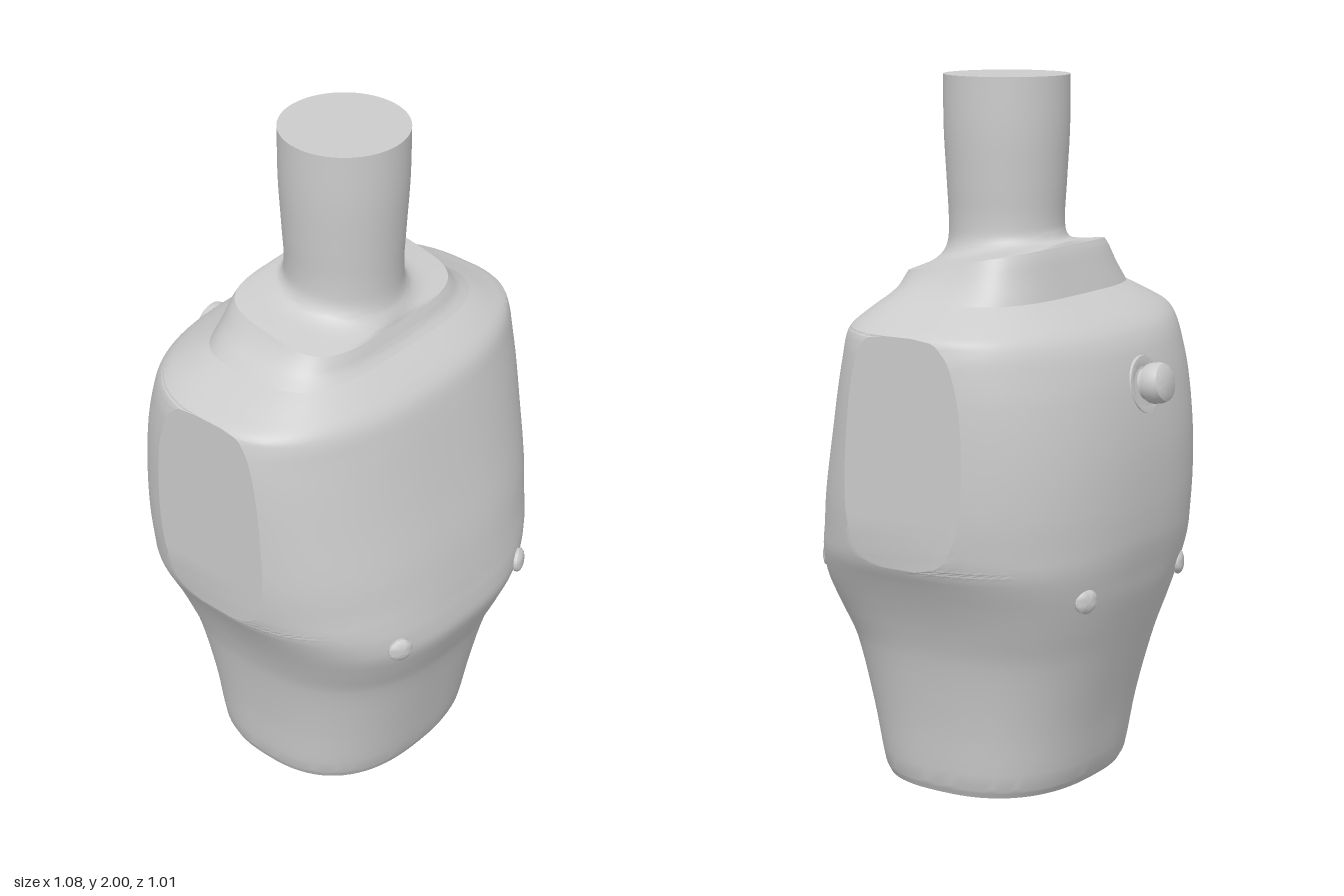
import * as THREE from 'three';
import { toCreasedNormals } from 'three/addons/utils/BufferGeometryUtils.js';

const MID = 0.025;   // z of the central axis
const SIDE = 0.54;   // flat arm cuts at x = +-SIDE
const ARC = 40;      // segments per front or back arc

// Row: [y, half width, front z, back z, squareness, tilt]
const BODY = [
  [0, 0.35, 0.33, -0.27, 2.5, 0],
  [0.03, 0.362, 0.343, -0.285, 2.5, 0],
  [0.2, 0.38, 0.38, -0.32, 2.5, 0],
  [0.4, 0.415, 0.43, -0.375, 2.5, 0],
  [0.5, 0.447, 0.47, -0.405, 2.6, 0],
  [0.58, 0.482, 0.499, -0.428, 2.6, 0],
  [0.64, 0.513, 0.497, -0.44, 2.6, 0],
  [0.69, 0.541, 0.49, -0.45, 2.5, 0],
  [0.74, 0.556, 0.483, -0.457, 2.4, 0],
  [0.85, 0.568, 0.464, -0.461, 2.4, 0],
  [1.0, 0.573, 0.43, -0.456, 2.4, 0],
  [1.15, 0.573, 0.397, -0.435, 2.4, 0],
  [1.25, 0.567, 0.374, -0.408, 2.4, 0],
  [1.3, 0.556, 0.358, -0.382, 2.5, 0],
  [1.33, 0.541, 0.338, -0.352, 2.6, 0],
  [1.36, 0.475, 0.305, -0.305, 2.9, 0],
  [1.4, 0.39, 0.253, -0.226, 3.4, 0],
];
const COLLAR = [
  [1.4, 0.39, 0.253, -0.226, 3.4, 0],
  [1.44, 0.345, 0.235, -0.205, 3.6, 0.09],
  [1.475, 0.318, 0.225, -0.188, 3.8, 0.16],
  [1.495, 0.306, 0.217, -0.177, 3.8, 0.18],
];
const NECK = [
  [1.495, 0.306, 0.217, -0.177, 3.8, 0.18],
  [1.508, 0.215, 0.212, -0.17, 2.4, 0.17],
  [1.53, 0.178, 0.195, -0.152, 2, 0.1],
  [1.58, 0.164, 0.189, -0.139, 2, 0.03],
  [1.7, 0.169, 0.194, -0.144, 2, 0],
  [1.85, 0.177, 0.202, -0.152, 2, 0],
  [2.0, 0.178, 0.203, -0.153, 2, 0],
];

// Smooth interpolation between rows
function refine(rows, steps) {
  const out = [];
  for (let i = 0; i < rows.length - 1; i++) {
    const p0 = rows[Math.max(i - 1, 0)], p1 = rows[i], p2 = rows[i + 1];
    const p3 = rows[Math.min(i + 2, rows.length - 1)];
    for (let s = 0; s < steps; s++) {
      const t = s / steps;
      out.push(p1.map((v, k) => {
        // tangents scaled by height, so uneven row spacing stays smooth
        const h = p2[0] - p1[0];
        const m1 = (p2[k] - p0[k]) / (p2[0] - p0[0]) * h;
        const m2 = (p3[k] - p1[k]) / (p3[0] - p1[0]) * h;
        return v * (2 * t ** 3 - 3 * t * t + 1) + m1 * (t ** 3 - 2 * t * t + t)
          + p2[k] * (3 * t * t - 2 * t ** 3) + m2 * (t ** 3 - t * t);
      }));
    }
  }
  out.push(rows[rows.length - 1]);
  return out;
}

// Front and back arcs; the gap between them forms the flat arm cut
function ring([y, w, front, back, n, tilt]) {
  const start = w > SIDE ? Math.acos((SIDE / w) ** (n / 2)) : 0;
  const points = [];
  for (const side of [1, -1]) {
    const depth = side > 0 ? front - MID : MID - back;
    for (let i = 0; i <= ARC; i++) {
      const a = start + (Math.PI - 2 * start) * i / ARC;
      const c = Math.cos(a) * side;
      const x = w * Math.sign(c) * Math.abs(c) ** (2 / n);
      const z = side * depth * Math.abs(Math.sin(a)) ** (2 / n);
      points.push([x, y - z * tilt, MID + z]);
    }
  }
  return points;
}

function loft(rows, steps, capBottom, capTop) {
  const rings = refine(rows, steps).map(ring);
  const n = rings[0].length, last = (rings.length - 1) * n;
  const pos = rings.flat(2), index = [];
  for (let r = 0; r < rings.length - 1; r++) {
    for (let j = 0; j < n; j++) {
      const a = r * n + j, b = r * n + (j + 1) % n;
      index.push(a, a + n, b, b, a + n, b + n);
    }
  }
  const bottom = pos.length / 3, top = bottom + 1;
  pos.push(0, rows[0][0], MID, 0, rows[rows.length - 1][0], MID);
  for (let j = 0; j < n; j++) {
    const k = (j + 1) % n;
    if (capBottom) index.push(bottom, j, k);
    if (capTop) index.push(top, last + k, last + j);
  }
  const g = new THREE.BufferGeometry();
  g.setAttribute('position', new THREE.Float32BufferAttribute(pos, 3));
  g.setIndex(index);
  return toCreasedNormals(g, 0.35);
}

// Turned part whose axis points along +z
function turned(profile, segments) {
  const g = new THREE.LatheGeometry(profile.map(p => new THREE.Vector2(...p)), segments);
  return toCreasedNormals(g.rotateX(Math.PI / 2), 0.7);
}

export function createModel() {
  const model = new THREE.Group();
  const grey = new THREE.MeshStandardMaterial({ color: 0xcccccc });
  const add = (name, geometry, parent = model) => {
    const mesh = new THREE.Mesh(geometry, grey);
    mesh.name = name;
    parent.add(mesh);
    return mesh;
  };

  add('torso', loft(BODY, 4, true, false));
  add('collar', loft(COLLAR, 3, false, false));
  add('neck', loft(NECK, 5, false, true));

  // Four small domed studs round the waist
  const stud = turned([[0.028, -0.03], [0.028, 0.006], [0.035, 0.009], [0.036, 0.018],
    [0.03, 0.026], [0.016, 0.031], [0, 0.032]], 20);
  for (const x of [-1, 1]) {
    const front = add('frontStud', stud);
    front.position.set(x * 0.26, 0.615, 0.455);
    front.rotation.y = x * 0.45;
    const back = add('backStud', stud);
    back.position.set(x * 0.25, 0.6, -0.385);
    back.rotation.y = Math.PI - x * 0.42;
  }

  // Knob between the shoulders, on a shallow seat
  const knob = new THREE.Group();
  knob.name = 'backKnob';
  knob.position.set(0, 1.165, -0.431);
  knob.rotation.set(0.2, Math.PI, 0, 'YXZ');
  knob.rotation.x = -0.18;
  add('knobSeat', turned([[0.083, -0.02], [0.08, 0.003], [0.072, 0.004], [0.046, -0.004]], 32), knob);
  add('knobStem', turned([[0.044, -0.03], [0.044, 0.02]], 24), knob);
  add('knobCap', turned([[0.044, 0.012], [0.054, 0.016], [0.057, 0.025], [0.057, 0.05],
    [0.052, 0.064], [0.038, 0.072], [0, 0.073]], 32), knob);
  model.add(knob);

  return model;
}
